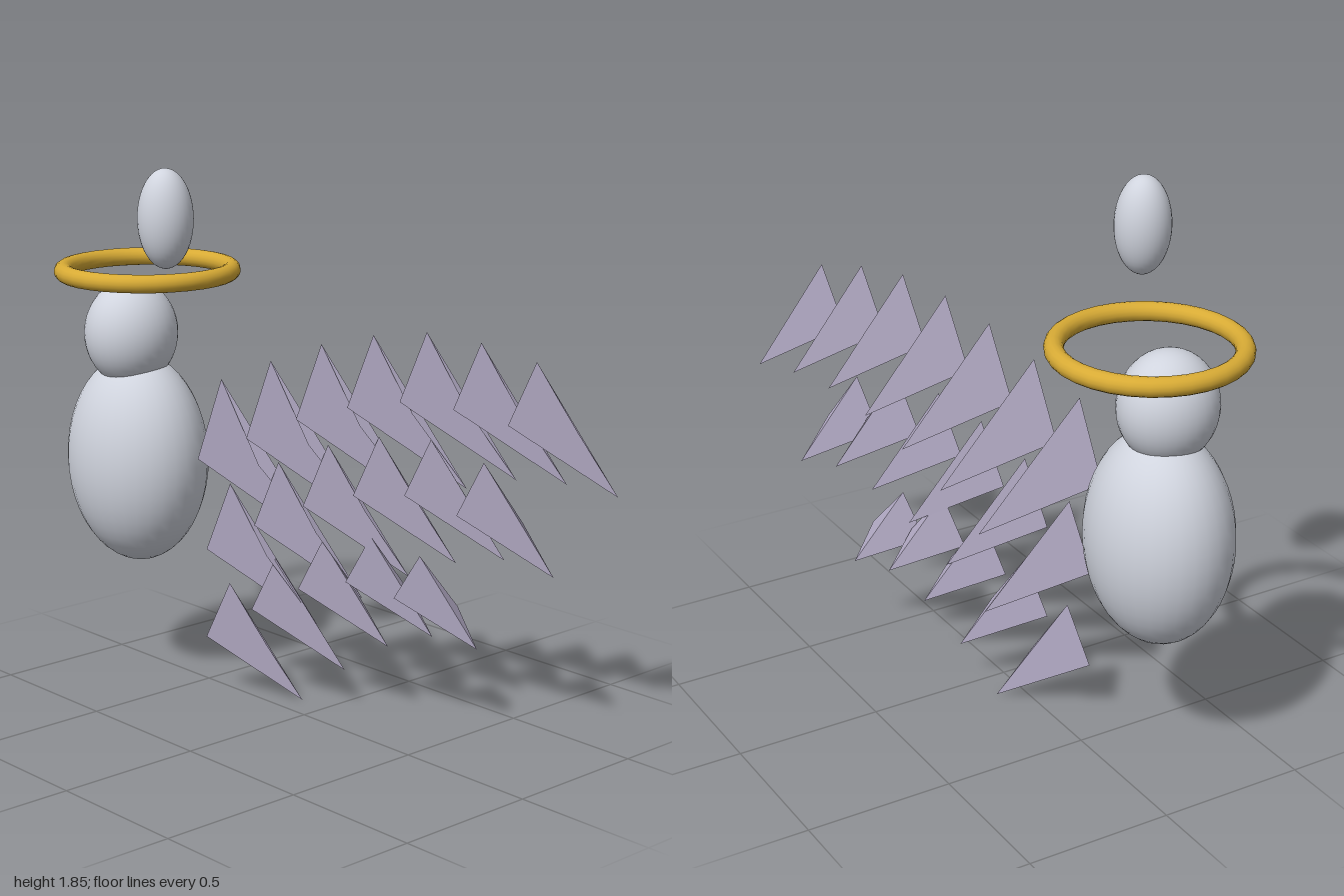
import * as THREE from 'three';

const silver = new THREE.MeshStandardMaterial({ color: 0xd0d4de });
silver.name = 'paleSilver';
const gold = new THREE.MeshStandardMaterial({ color: 0xd8ab35 });
gold.name = 'gold';
const lilac = new THREE.MeshStandardMaterial({ color: 0xb2aac4, side: THREE.DoubleSide, flatShading: true });
lilac.name = 'lilac';

function ellipsoid(name, center, radii) {
  const mesh = new THREE.Mesh(new THREE.SphereGeometry(1, 32, 24), silver);
  mesh.name = name;
  mesh.position.set(...center);
  mesh.scale.set(...radii);
  return mesh;
}

// Kite-shaped feather hanging from its upper point; half is half its drop
function feather(half) {
  const geometry = new THREE.BufferGeometry();
  geometry.setAttribute('position', new THREE.Float32BufferAttribute([
    0, 0, 0,
    -0.08, -half, 0.039,
    1.01 * half, -2 * half, -0.74 * half,
    0.123, -half, -0.055,
  ], 3));
  geometry.setIndex([0, 1, 2, 0, 2, 3]);
  geometry.computeVertexNormals();
  return new THREE.Mesh(geometry, lilac);
}

// Three arched rows of feathers; they shorten towards the wing tip
const rows = [
  { name: 'upperFeather', x: -0.289, dx: 0.178, z: 0.11, dz: -0.0623, half: [0.283, 0.21],
    heights: [1.139, 1.22, 1.294, 1.342, 1.369, 1.353, 1.31] },
  { name: 'middleFeather', x: -0.283, dx: 0.174, z: 0.08, dz: -0.0636, half: [0.24, 0.184],
    heights: [0.775, 0.872, 0.952, 1.0, 1.012, 0.957] },
  { name: 'lowerFeather', x: -0.316, dx: 0.166, z: 0.057, dz: -0.063, half: [0.203, 0.155],
    heights: [0.412, 0.524, 0.61, 0.647, 0.604] },
];

export function createModel() {
  const model = new THREE.Group();
  model.name = 'wingedFigure';

  // Rounded figure and the separate floating orb
  model.add(
    ellipsoid('body', [-0.68, 0.81, 0.16], [0.267, 0.365, 0.228]),
    ellipsoid('head', [-0.68, 1.25, 0.18], [0.153, 0.183, 0.165]),
    ellipsoid('floatingOrb', [-0.316, 1.694, 0.317], [0.091, 0.163, 0.092]),
  );

  // Halo above the head
  const halo = new THREE.Mesh(new THREE.TorusGeometry(0.288, 0.031, 16, 32), gold);
  halo.name = 'halo';
  halo.rotation.x = Math.PI / 2;
  halo.position.set(-0.68, 1.458, 0.105);
  model.add(halo);

  // Single swept-back wing
  const wing = new THREE.Group();
  wing.name = 'wing';
  for (const row of rows) {
    row.heights.forEach((y, i) => {
      const t = i / (row.heights.length - 1);
      const mesh = feather(THREE.MathUtils.lerp(row.half[0], row.half[1], t));
      mesh.name = row.name;
      mesh.position.set(row.x + row.dx * i, y, row.z + row.dz * i);
      wing.add(mesh);
    });
  }
  model.add(wing);
  return model;
}
